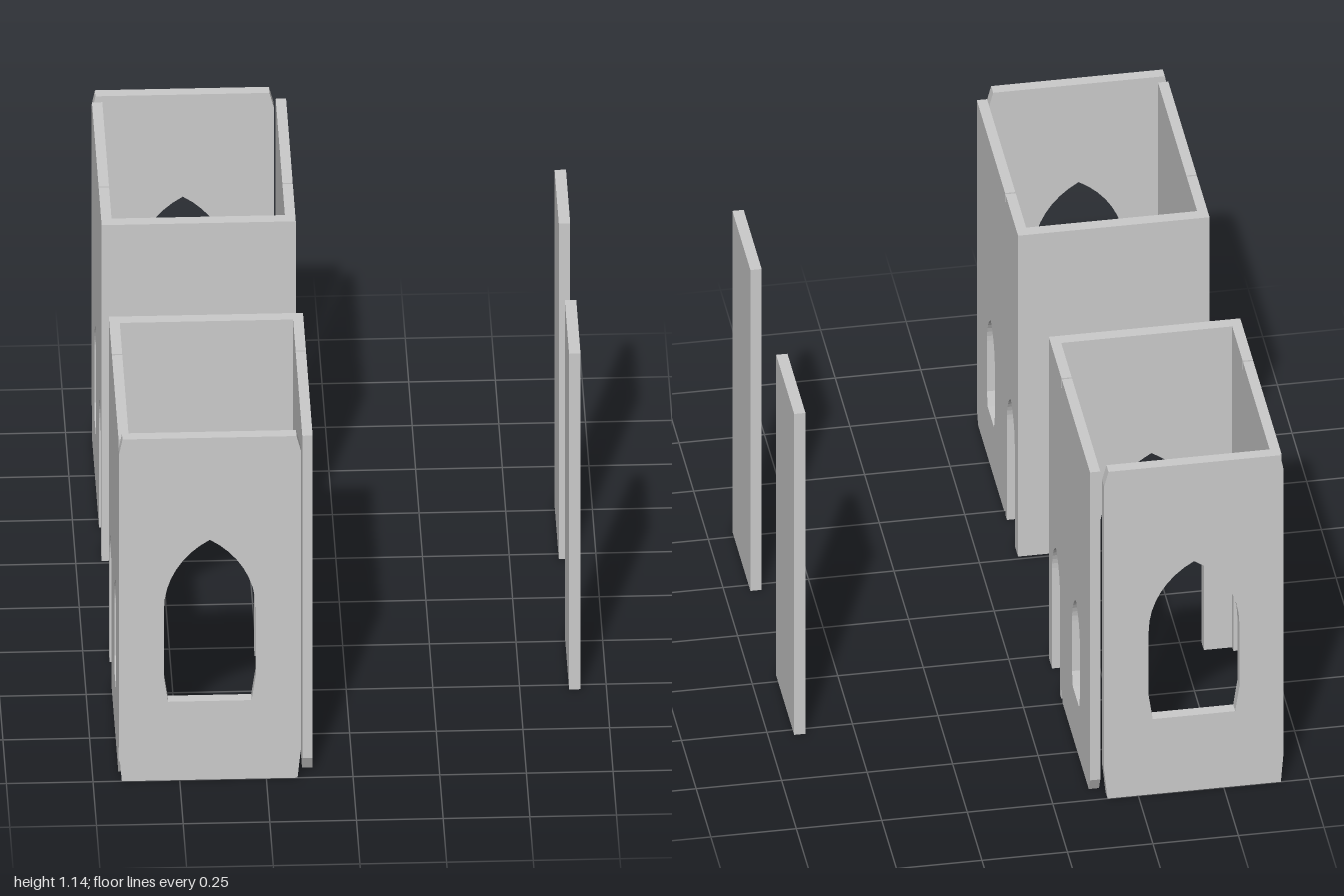
import * as THREE from 'three';

const material = new THREE.MeshStandardMaterial({ color: 0xcccccc, flatShading: true });

// Points of an equilateral pointed arch, right springing to left springing
function archPoints(centre, half, spring, steps = 8) {
  const right = [];
  for (let i = 0; i <= steps; i++) {
    const a = (i / steps) * Math.PI / 3;
    right.push([2 * half * Math.cos(a) - half, spring + 2 * half * Math.sin(a)]);
  }
  const left = right.slice(0, -1).reverse().map(([u, v]) => [-u, v]);
  return [...right, ...left].map(([u, v]) => [centre + u, v]);
}

// Pointed window whose lower corners taper inwards
function windowPoints(centre, half, sill, shoulder, spring, taper) {
  return [
    [centre - half + taper, sill], [centre + half - taper, sill], [centre + half, shoulder],
    ...archPoints(centre, half, spring),
    [centre - half, shoulder],
  ];
}

// Flat panel from an outline and holes; "flip" mirrors the outline
function panel(name, outline, holes, depth, flip = 1) {
  const vec = ([u, v]) => new THREE.Vector2(u * flip, v);
  const shape = new THREE.Shape(outline.map(vec));
  for (const hole of holes) shape.holes.push(new THREE.Path(hole.map(vec)));
  const geometry = new THREE.ExtrudeGeometry(shape, { depth, bevelEnabled: false });
  const mesh = new THREE.Mesh(geometry, material);
  mesh.name = name;
  return mesh;
}

function createTower(side) {
  const tower = new THREE.Group();
  tower.name = side > 0 ? 'frontTower' : 'backTower';

  // Outer end wall with clipped corners and a tall window
  const outer = panel('outerWall', [
    [-0.667, 0], [-0.16, 0], [-0.15, 0.1], [-0.15, 1.09], [-0.163, 1.14],
    [-0.665, 1.14], [-0.675, 1.09], [-0.675, 0.1],
  ], [windowPoints(-0.413, 0.1325, 0.262, 0.345, 0.57, 0.012)], 0.035);
  outer.position.z = side > 0 ? 0.965 : -1;
  tower.add(outer);

  // Inner end wall, open at the ground with a large arch
  const inner = panel('innerWall', [
    [-0.675, 0], [-0.675, 1.12], [-0.115, 1.12], [-0.115, 0], [-0.256, 0],
    ...archPoints(-0.409, 0.153, 0.44, 12), [-0.562, 0],
  ], [], 0.037);
  inner.position.z = side > 0 ? 0.262 : -0.299;
  tower.add(inner);

  // Long side walls: window, doorway, and a joint notched at top and base
  for (const [name, x] of [['leftWall', -0.115], ['rightWall', -0.645]]) {
    const wall = panel(name, [
      [0.299, 0], [0.299, 1.12], [0.477, 1.12], [0.477, 1.09], [0.483, 1.09], [0.483, 1.12],
      [0.965, 1.12], [0.965, 0.045], [0.943, 0], [0.497, 0], [0.483, 0.035], [0.477, 0.035],
      [0.475, 0], [0.452, 0], ...archPoints(0.385, 0.067, 0.35), [0.318, 0],
    ], [windowPoints(0.725, 0.067, 0.175, 0.22, 0.396, 0.013)], 0.03, side);
    wall.rotation.y = -Math.PI / 2;
    wall.position.x = x;
    tower.add(wall);
  }
  return tower;
}

export function createModel() {
  const model = new THREE.Group();
  model.name = 'twinTowers';
  for (const side of [1, -1]) {
    model.add(createTower(side));

    // Free-standing slab beside each tower
    const slab = new THREE.Mesh(new THREE.BoxGeometry(0.033, 1.12, 0.307), material);
    slab.name = side > 0 ? 'frontSlab' : 'backSlab';
    slab.position.set(0.6585, 0.56, side * 0.373);
    model.add(slab);
  }
  return model;
}
